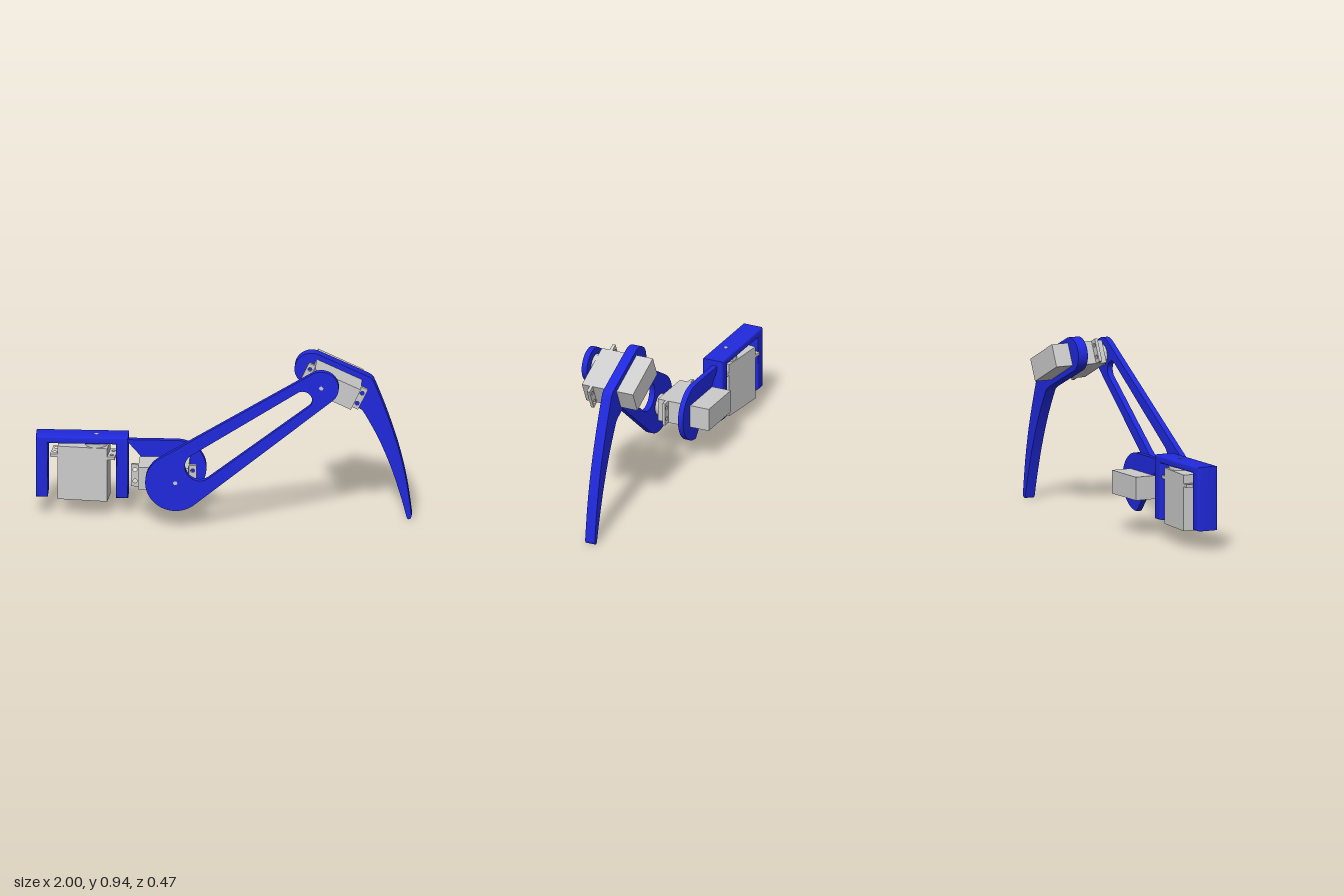
import * as THREE from 'three';
import { toCreasedNormals } from 'three/addons/utils/BufferGeometryUtils.js';

const blue = new THREE.MeshStandardMaterial({ color: 0x2029dd });
const grey = new THREE.MeshStandardMaterial({ color: 0xcccccc });
const TILT = THREE.MathUtils.degToRad(25);

function mesh(name, geometry, material) {
  const m = new THREE.Mesh(geometry, material);
  m.name = name;
  return m;
}

// Plate drawn in x/y, filling z0..z1, optionally with softened edges
function plate(name, shape, z0, z1, material = blue, bevel = 0) {
  const geo = new THREE.ExtrudeGeometry(shape, {
    depth: z1 - z0 - 2 * bevel, curveSegments: 32,
    bevelEnabled: bevel > 0, bevelThickness: bevel, bevelSize: bevel, bevelOffset: -bevel, bevelSegments: 3,
  });
  geo.translate(0, 0, z0 + bevel);
  return mesh(name, toCreasedNormals(geo, 0.6), material);
}

// Two circles on the x axis joined by their tangents
function taperedSlot(path, x0, r0, x1, r1) {
  const a = Math.acos((r0 - r1) / (x1 - x0));
  path.absarc(x0, 0, r0, a, 2 * Math.PI - a, false);
  path.absarc(x1, 0, r1, -a, a, false);
  path.closePath();
  return path;
}

function circle(x, y, r) {
  return new THREE.Path().absarc(x, y, r, 0, 2 * Math.PI, true);
}

// Servo with its shaft along +z at the origin, body trailing towards -x
function servo(name) {
  const g = new THREE.Group();
  g.name = name;
  const midX = -0.066, width = 0.267, depth = 0.126;
  const body = mesh('servoBody', new THREE.BoxGeometry(width, depth, 0.302), grey);
  body.position.set(midX, 0, -0.151);
  g.add(body);

  // Mounting ears with two screw holes each
  for (const side of [-1, 1]) {
    const a = midX + side * (width / 2 - 0.005), b = midX + side * (width / 2 + 0.04);
    const ear = new THREE.Shape([[a, -depth / 2], [b, -depth / 2], [b, depth / 2], [a, depth / 2]]
      .map(([x, y]) => new THREE.Vector2(x, y)));
    for (const y of [-0.032, 0.032]) ear.holes.push(circle(midX + side * (width / 2 + 0.02), y, 0.011));
    g.add(plate('servoEar', ear, -0.063, -0.046, grey));
  }

  // Gear housing and output shaft
  for (const [part, r, h] of [['gearHousing', 0.06, 0.02], ['outputShaft', 0.011, 0.059]]) {
    const c = mesh(part, new THREE.CylinderGeometry(r, r, h, 32), grey);
    c.rotation.x = Math.PI / 2;
    c.position.z = h / 2;
    g.add(c);
  }
  return g;
}

// U-shaped hip bracket
function hipBracket() {
  const s = new THREE.Shape([
    [-0.996, 0.107], [-0.932, 0.107], [-0.932, 0.413], [-0.568, 0.413],
    [-0.568, 0.107], [-0.504, 0.107], [-0.504, 0.452], [-0.996, 0.452],
  ].map(([x, y]) => new THREE.Vector2(x, y)));
  return plate('hipBracket', s, -0.09, 0.028, blue, 0.009);
}

// Round-ended plate holding the hip servo
function hipPlate() {
  const s = new THREE.Shape();
  s.moveTo(-0.52, 0.107);
  s.absarc(-0.247, 0.264, 0.157, -Math.PI / 2, Math.PI / 2, false);
  s.lineTo(-0.52, 0.421);
  s.closePath();
  return plate('hipPlate', s, -0.06, -0.03);
}

// Slotted upper link between both joints
function upperLink() {
  const s = taperedSlot(new THREE.Shape(), 0, 0.16, 0.956, 0.093);
  s.holes.push(taperedSlot(new THREE.Path(), 0.16, 0.079, 0.835, 0.05));
  const m = plate('upperLink', s, 0.158, 0.19);
  m.position.set(-0.245, 0.265, 0);
  m.rotation.z = Math.atan2(0.556, 0.778);
  return m;
}

// Lower leg: round head around the servo, then a curved claw
function lowerLeg() {
  const v = (pts) => pts.map(([x, y]) => new THREE.Vector2(x, y));
  const s = new THREE.Shape();
  const up = Math.PI / 2 - TILT;
  s.absarc(0.472, 0.848, 0.092, up + Math.PI, up, true);
  s.lineTo(0.775, 0.812);
  s.splineThru(v([[0.793, 0.798], [0.809, 0.768], [0.87, 0.608], [0.934, 0.405], [0.977, 0.213], [1.004, 0.02]]));
  s.lineTo(0.998, 0.004);
  s.lineTo(0.984, 0);
  s.lineTo(0.977, 0.012);
  s.splineThru(v([[0.95, 0.117], [0.897, 0.288], [0.828, 0.459], [0.752, 0.603], [0.73, 0.628], [0.706, 0.642]]));
  s.closePath();
  return plate('lowerLeg', s, -0.073, -0.016);
}

export function createModel() {
  const model = new THREE.Group();
  model.name = 'robotLeg';

  // Fixed servo that swings the whole leg
  const swing = servo('swingServo');
  swing.rotation.x = -Math.PI / 2;
  swing.position.set(-0.675, 0.395, 0.041);
  model.add(swing);

  // Everything else is turned slightly about the vertical
  const leg = new THREE.Group();
  leg.name = 'leg';
  leg.rotation.y = 0.1;
  model.add(leg);

  const hip = servo('hipServo');
  hip.position.set(-0.245, 0.264, 0.132);
  const knee = servo('kneeServo');
  knee.position.set(0.533, 0.821, 0.132);
  knee.rotation.z = Math.PI - TILT;

  leg.add(hipBracket(), hipPlate(), hip, upperLink(), knee, lowerLeg());
  return model;
}
